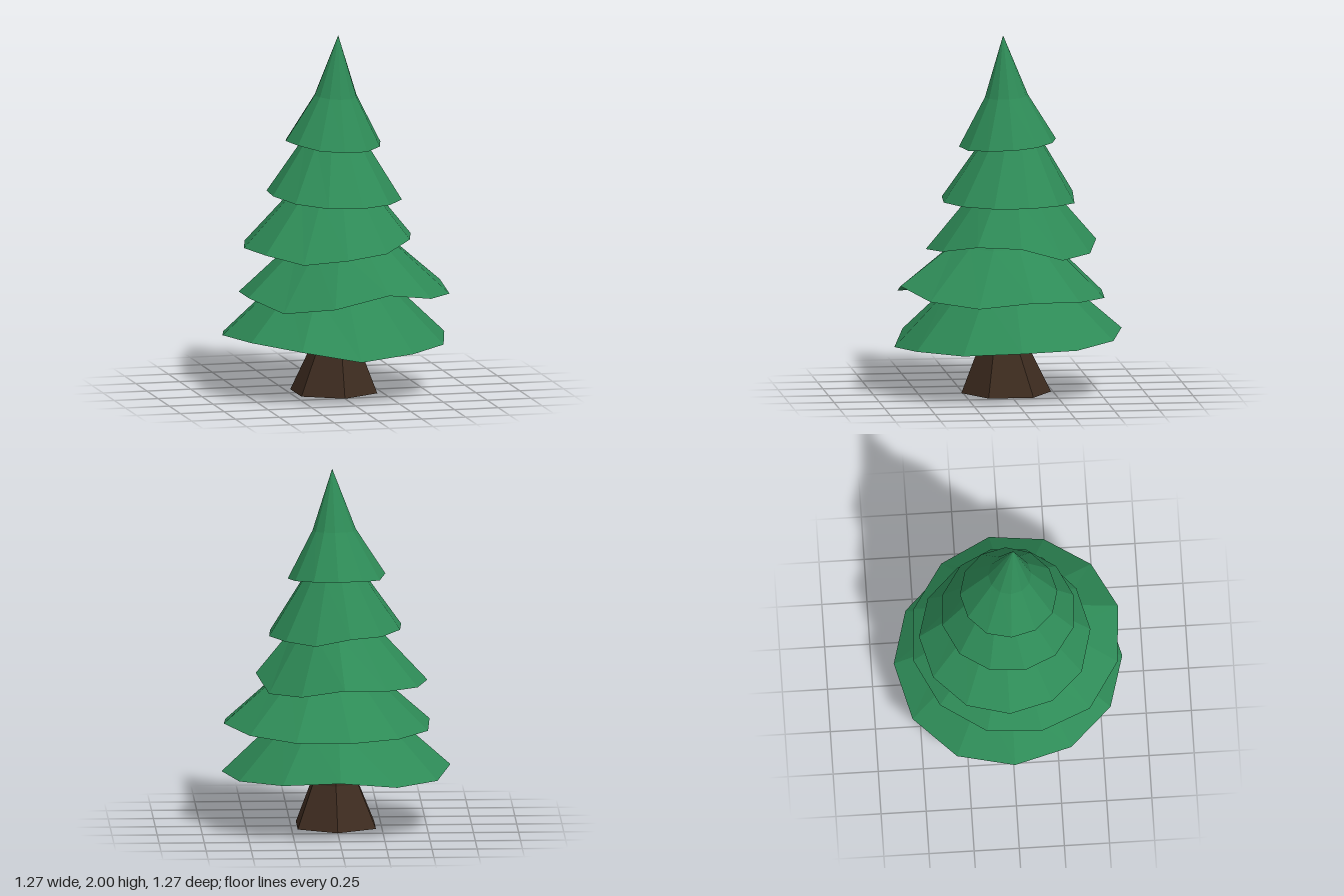
import * as THREE from 'three';

const SIDES = 12;

// Each bough tier: rim centre, rim radius, start angle (degrees), uneven rim heights,
// then the inner ring [x, y, z, radius] and the tip [x, y, z].
const TIERS = [
  { c: [0, 0], r: 0.633, phase: 0, ring: [0, 0.59, 0, 0.34], tip: [0.02, 0.95, 0.02],
    h: [0.31, 0.29, 0.285, 0.265, 0.32, 0.345, 0.34, 0.305, 0.31, 0.35, 0.325, 0.31] },
  { c: [0.05, 0.045], r: 0.585, phase: 19, ring: [0.05, 0.84, 0.03, 0.28], tip: [0.03, 1.2, 0.02],
    h: [0.56, 0.58, 0.63, 0.56, 0.52, 0.57, 0.555, 0.555, 0.555, 0.555, 0.57, 0.59] },
  { c: [-0.03, -0.02], r: 0.475, phase: 0, ring: [0, 1.11, -0.025, 0.235], tip: [0.01, 1.45, 0],
    h: [0.865, 0.87, 0.825, 0.805, 0.78, 0.815, 0.82, 0.82, 0.83, 0.845, 0.8, 0.79] },
  { c: [0.005, 0], r: 0.375, phase: 19, ring: [0.01, 1.4, -0.02, 0.175], tip: [0.02, 1.72, 0.02],
    h: [1.08, 1.08, 1.08, 1.085, 1.1, 1.12, 1.12, 1.11, 1.11, 1.07, 1.08, 1.08] },
  { c: [-0.003, 0.003], r: 0.27, phase: 0, ring: [0.01, 1.66, 0.01, 0.12], tip: [0.02, 2, 0.03],
    h: [1.39, 1.385, 1.375, 1.38, 1.39, 1.41, 1.415, 1.4, 1.41, 1.415, 1.41, 1.4] },
];

function circle(n, phase, cx, cz, r, height) {
  return Array.from({ length: n }, (_, i) => {
    const a = phase * Math.PI / 180 + i * Math.PI * 2 / n;
    return [cx + r * Math.cos(a), height(i), cz + r * Math.sin(a)];
  });
}

// Faceted solid through stacked rings, closed to a point at the bottom and top.
function loft(rings, bottom, top) {
  const pos = [];
  const n = rings[0].length;
  const tri = (a, b, c) => pos.push(...a, ...b, ...c);
  for (let i = 0; i < n; i++) {
    const j = (i + 1) % n;
    tri(rings[0][i], rings[0][j], bottom);
    for (let k = 0; k < rings.length - 1; k++) {
      const lo = rings[k], up = rings[k + 1];
      tri(lo[i], up[i], up[j]);
      tri(lo[i], up[j], lo[j]);
    }
    const last = rings[rings.length - 1];
    tri(last[i], top, last[j]);
  }
  const geo = new THREE.BufferGeometry();
  geo.setAttribute('position', new THREE.Float32BufferAttribute(pos, 3));
  geo.computeVertexNormals();
  return geo;
}

export function createModel() {
  const tree = new THREE.Group();
  tree.name = 'pineTree';
  const needles = new THREE.MeshStandardMaterial({ color: 0x2e8b57, flatShading: true });
  needles.name = 'needleGreen';
  const bark = new THREE.MeshStandardMaterial({ color: 0x3d2b1f, flatShading: true });
  bark.name = 'barkBrown';

  // Six-sided trunk with a flared foot
  const trunk = new THREE.Mesh(loft([
    circle(6, 30, 0, 0.01, 0.25, () => 0),
    circle(6, 30, 0.005, 0.025, 0.145, () => 0.24),
    circle(6, 30, 0.005, 0.025, 0.13, () => 0.45),
  ], [0, 0, 0.01], [0, 0.45, 0.025]), bark);
  trunk.name = 'trunk';
  tree.add(trunk);

  // Bough tiers, widest at the bottom
  TIERS.forEach(({ c, r, phase, h, ring, tip }, i) => {
    const mean = h.reduce((s, v) => s + v, 0) / SIDES;
    const rim = circle(SIDES, phase, c[0], c[1], r, k => h[k]);
    const inner = circle(SIDES, phase, ring[0], ring[2], ring[3], k => ring[1] + (h[k] - mean) * 0.3);
    const tier = new THREE.Mesh(loft([rim, inner], [c[0], mean + 0.02, c[1]], tip), needles);
    tier.name = `boughTier${i + 1}`;
    tree.add(tier);
  });
  return tree;
}
